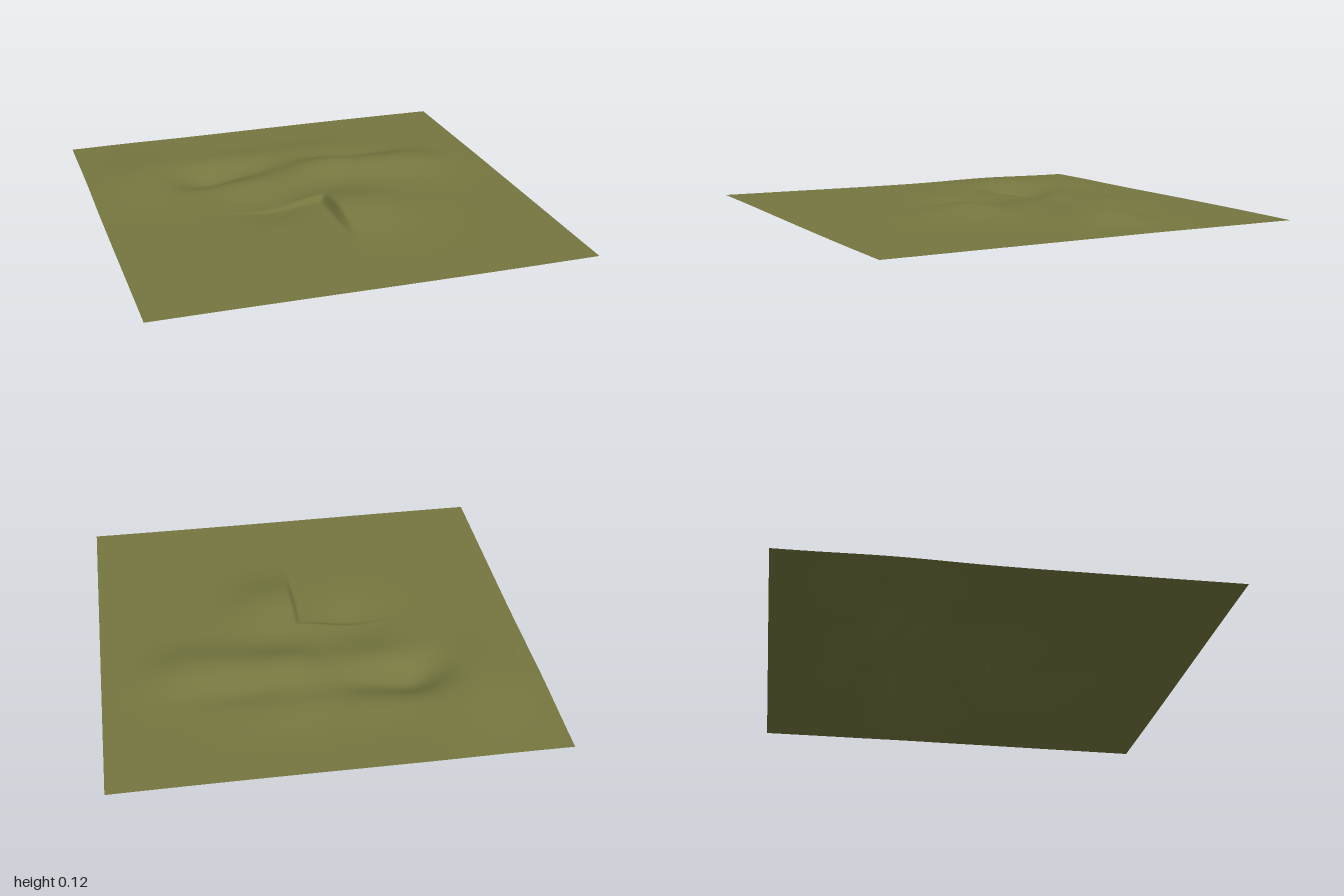
import * as THREE from 'three';

const olive = new THREE.MeshStandardMaterial({ color: 0x75763f, side: THREE.DoubleSide });
olive.name = 'olive ground';

// Soft mounds and hollows: centre x, centre z, radius x, radius z, height
const MOUNDS = [
  [-0.72, -0.5, 0.17, 0.22, 0.034],  // back right hill
  [-0.24, -0.6, 0.13, 0.07, 0.012],  // small rear mound
  [0.15, -0.58, 0.18, 0.09, 0.018],  // rear centre mound
  [-0.41, -0.42, 0.1, 0.075, -0.054], // deep hollow
  [-0.2, -0.43, 0.1, 0.06, -0.022],  // hollow tail
  [-0.53, -0.34, 0.08, 0.08, -0.016],
  [-0.28, -0.25, 0.15, 0.07, 0.013], // low ridge
  [0.16, -0.3, 0.14, 0.1, 0.058],    // central ridge
  [0.4, -0.26, 0.1, 0.1, 0.022],
  [0.6, -0.26, 0.14, 0.12, 0.043],   // left lobe
  [0.38, -0.44, 0.18, 0.05, -0.014], // shallow groove
  [-0.22, 0.03, 0.13, 0.12, -0.03],  // hollow at the step
];

const bell = (x, z, cx, cz, sx, sz) =>
  Math.exp(-(((x - cx) / sx) ** 2 + ((z - cz) / sz) ** 2) / 2);

function groundHeight(x, z) {
  let y = 0.055 + 0.005 * Math.sin(2.2 * x + 0.4) * Math.cos(1.5 * z + 0.6);
  for (const [cx, cz, sx, sz, h] of MOUNDS) y += h * bell(x, z, cx, cz, sx, sz);
  // hill cut away in one quadrant, leaving an L-shaped step
  const keep = Math.max(
    THREE.MathUtils.smoothstep(x, 0.035, 0.065),
    1 - THREE.MathUtils.smoothstep(z, 0.03, 0.062));
  const hill = bell(x, z, 0.15, 0.2, x < 0.15 ? 0.24 : 0.16, z < 0.2 ? 0.15 : 0.16);
  return y + 0.051 * hill * keep;
}

export function createModel() {
  const group = new THREE.Group();
  group.name = 'terrain';

  // Square sheet displaced by the height rule
  const geometry = new THREE.PlaneGeometry(2, 2, 180, 180).rotateX(-Math.PI / 2);
  const p = geometry.attributes.position;
  for (let i = 0; i < p.count; i++) p.setY(i, groundHeight(p.getX(i), p.getZ(i)));

  // Rest the lowest point on y = 0
  geometry.computeBoundingBox();
  geometry.translate(0, -geometry.boundingBox.min.y, 0);
  geometry.computeVertexNormals();

  const ground = new THREE.Mesh(geometry, olive);
  ground.name = 'groundSheet';
  group.add(ground);
  return group;
}
